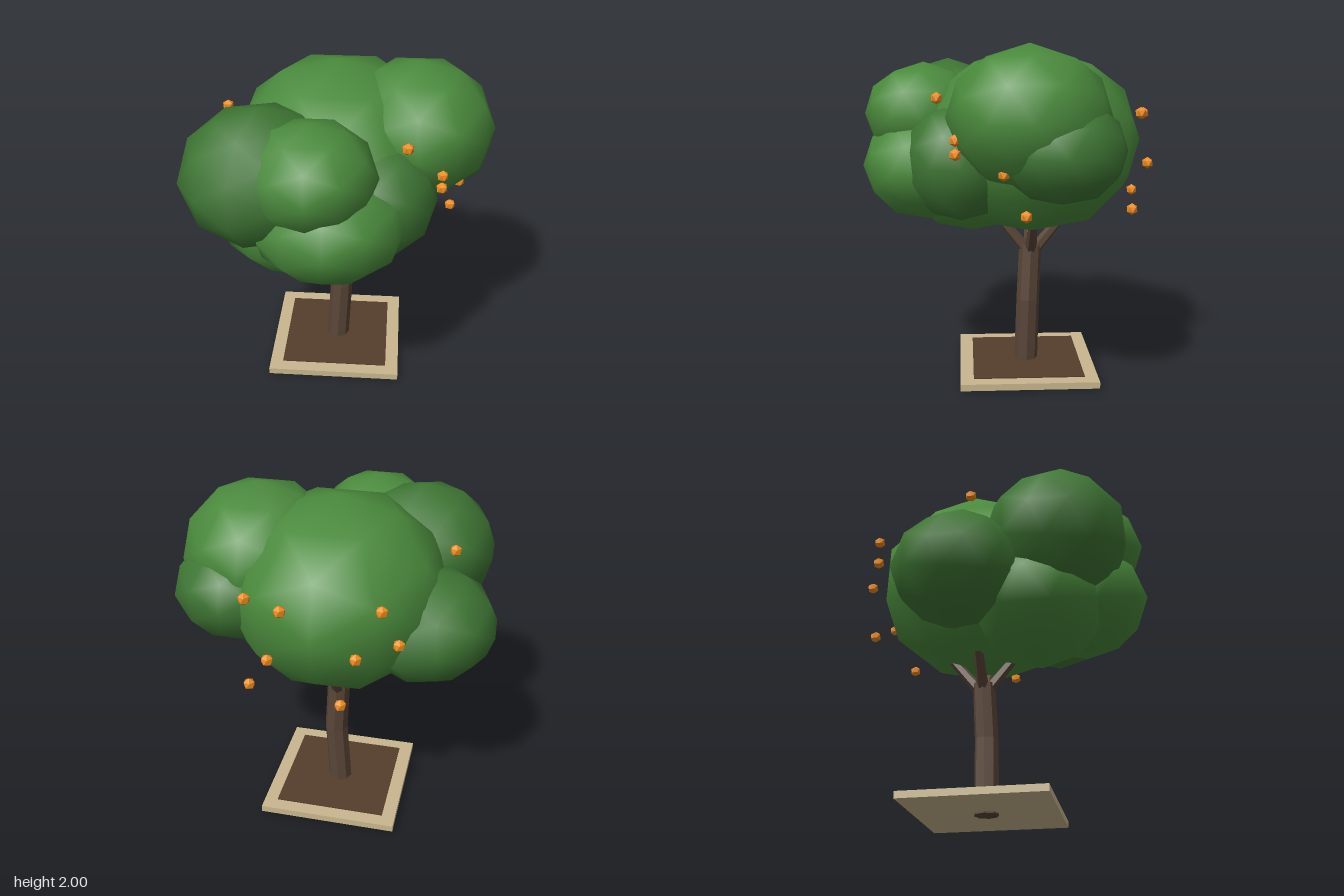
import * as THREE from 'three';

const mat = (color, flatShading = true) => new THREE.MeshStandardMaterial({ color, flatShading });

export function createModel() {
  const tree = new THREE.Group();
  tree.name = 'fruitTree';
  const bark = mat(0x5a4638);
  const leaf = mat(0x4a8a3c, false);
  const darkLeaf = mat(0x3f7634, false);
  const orange = mat(0xf08c1c);

  const add = (name, geometry, material, x, y, z) => {
    const mesh = new THREE.Mesh(geometry, material);
    mesh.name = name;
    mesh.position.set(x, y, z);
    tree.add(mesh);
    return mesh;
  };

  // Square planter slab with a soil inset
  add('planterSlab', new THREE.BoxGeometry(0.82, 0.04, 0.82), mat(0xc8b68e), -0.01, 0.03, -0.13);
  add('soil', new THREE.BoxGeometry(0.66, 0.03, 0.66), mat(0x553e2c), -0.01, 0.041, -0.13);

  // Trunk: an eight-sided column with a slight bend at its middle ring
  const trunk = new THREE.CylinderGeometry(0.068, 0.072, 0.8, 8, 2);
  const rings = [[-0.01, 0, -0.13], [0.015, 0.45, -0.14], [-0.005, 0.79, -0.155]];
  const p = trunk.attributes.position;
  for (let i = 0; i < p.count; i++) {
    const [x, y, z] = rings[Math.round((p.getY(i) + 0.4) / 0.4)];
    p.setXYZ(i, p.getX(i) + x, y, p.getZ(i) + z);
  }
  add('trunk', trunk, bark, 0, 0, 0);

  // Four branches fanning out from the top of the trunk
  const up = new THREE.Vector3(0, 1, 0);
  for (let i = 0; i < 4; i++) {
    const a = (i * Math.PI) / 2;
    const from = new THREE.Vector3(-0.005 + 0.03 * Math.cos(a), 0.76, -0.155 + 0.03 * Math.sin(a));
    const to = new THREE.Vector3(-0.005 + 0.25 * Math.cos(a), 1.03, -0.155 + 0.25 * Math.sin(a));
    const dir = to.clone().sub(from);
    const mid = from.clone().add(to).multiplyScalar(0.5);
    const branch = add('branch', new THREE.CylinderGeometry(0.024, 0.036, dir.length(), 6), bark, mid.x, mid.y, mid.z);
    branch.quaternion.setFromUnitVectors(up, dir.normalize());
  }

  // Crown: overlapping ellipsoids, [centre, radii, yaw]
  const clumps = [
    ['crownCentre', leaf, [0, 1.43, -0.15], [0.63, 0.55, 0.65], 0],
    ['crownLeftTop', leaf, [0.45, 1.61, -0.11], [0.44, 0.39, 0.45], 0],
    ['crownLeftBack', darkLeaf, [0.54, 1.44, -0.28], [0.36, 0.29, 0.35], 0],
    ['crownRightBack', darkLeaf, [-0.51, 1.29, -0.2], [0.4, 0.32, 0.39], 0.3],
    ['crownRightFront', darkLeaf, [-0.4, 1.5, 0.34], [0.44, 0.39, 0.42], 0.3],
    ['crownFrontTop', leaf, [-0.11, 1.58, 0.48], [0.36, 0.3, 0.35], 0],
    ['crownFrontLow', leaf, [-0.02, 1.28, 0.45], [0.43, 0.32, 0.39], 0],
    ['crownBottom', leaf, [-0.2, 1.19, 0.19], [0.48, 0.34, 0.43], 0],
    ['crownLeftFront', darkLeaf, [0.24, 1.34, 0.26], [0.33, 0.34, 0.32], 0],
  ];
  const ball = new THREE.IcosahedronGeometry(1.01, 1);
  // smooth normals
  ball.setAttribute('normal', ball.attributes.position.clone());
  for (const [name, material, centre, radii, yaw] of clumps) {
    const clump = add(name, ball, material, ...centre);
    clump.scale.set(...radii);
    clump.rotation.y = yaw;
  }

  // Small round fruit, turned so that a corner points up
  const fruits = [
    [0.395, 1.71, 0.39], [0.59, 1.505, 0.29], [0.59, 1.43, 0.29], [0.7, 1.34, 0.04],
    [0.67, 1.11, -0.08], [-0.64, 1.7, -0.11], [-0.44, 1.435, -0.71], [-0.355, 1.635, -0.745],
    [-0.24, 1.385, -0.81], [-0.16, 1.09, -0.8], [0.15, 1.6, -0.79], [0.22, 1.32, -0.81],
    [0.35, 1.62, -0.735], [0.365, 1.08, -0.7],
  ];
  const fruit = new THREE.IcosahedronGeometry(0.034, 0).rotateZ(0.5536);
  for (const f of fruits) add('fruit', fruit, orange, ...f);

  return tree;
}
